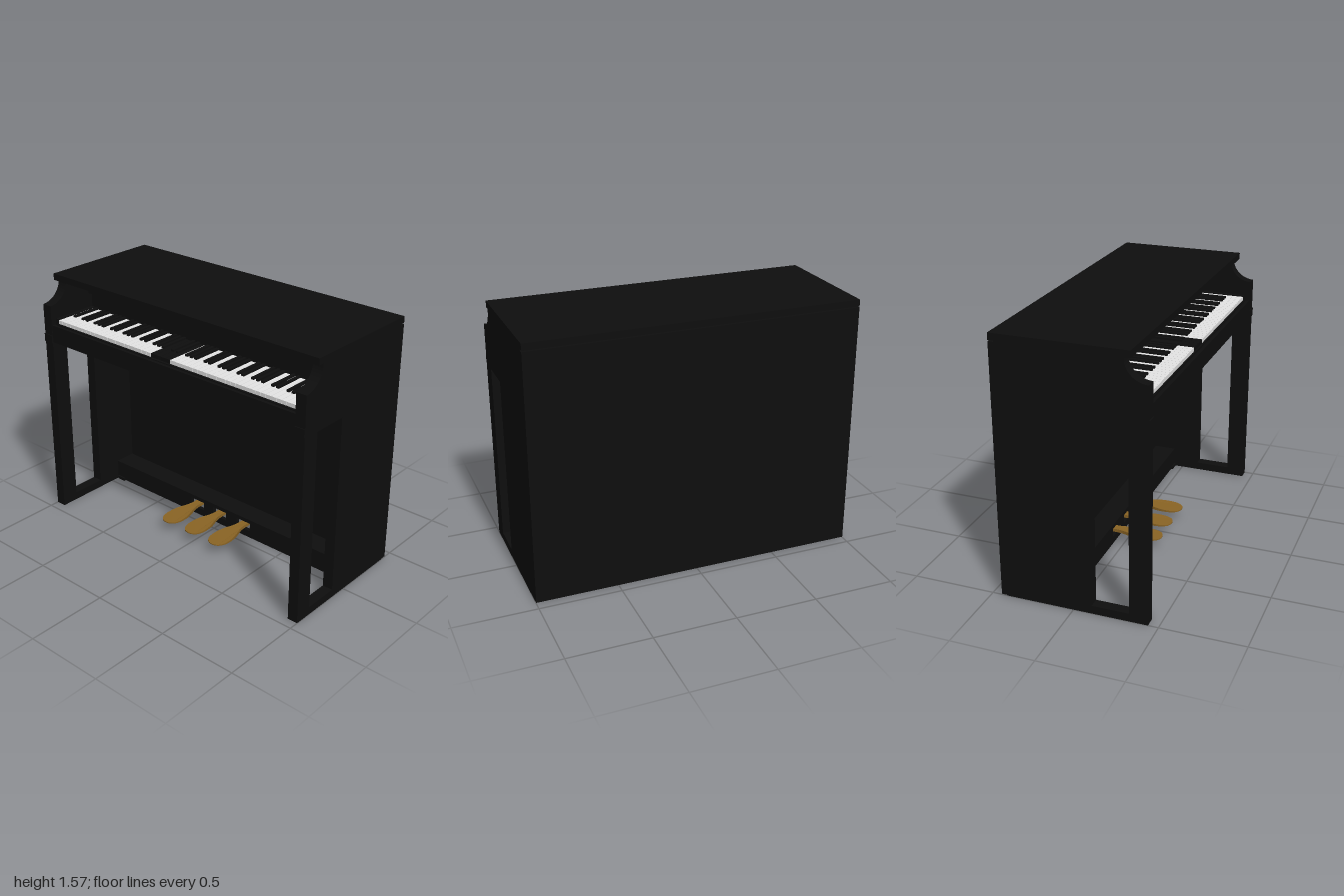
import * as THREE from 'three';

const mat = (name, color) => {
  const m = new THREE.MeshStandardMaterial({ color });
  m.name = name;
  return m;
};

export function createModel() {
  const black = mat('ebony black', 0x0e0e0e);
  const ivory = mat('key white', 0xe6e6e6);
  const brass = mat('pedal brass', 0x8a6424);
  const root = new THREE.Group();
  root.name = 'uprightPiano';

  const add = (name, geo, m, parent = root) => {
    const mesh = new THREE.Mesh(geo, m);
    mesh.name = name;
    parent.add(mesh);
    return mesh;
  };
  // box given by its minimum and maximum on each axis
  const box = (name, [x0, x1], [y0, y1], [z0, z1], m = black, parent = root) => {
    const mesh = add(name, new THREE.BoxGeometry(x1 - x0, y1 - y0, z1 - z0), m, parent);
    mesh.position.set((x0 + x1) / 2, (y0 + y1) / 2, (z0 + z1) / 2);
    return mesh;
  };

  const T = 0.065, IN = [-1 + T, 1 - T];

  // side panels: scooped cheek above, open window between front leg and body
  const side = new THREE.Shape();
  side.moveTo(-0.41, 0);
  side.lineTo(0.44, 0);
  side.lineTo(0.44, 1.4);
  side.absellipse(0.44, 1.53, 0.135, 0.13, -Math.PI / 2, -Math.PI, true);
  side.lineTo(-0.41, 1.53);
  side.closePath();
  const gap = new THREE.Path();
  gap.moveTo(0.11, 0.05);
  gap.lineTo(0.11, 1.155);
  gap.lineTo(0.33, 1.155);
  gap.lineTo(0.33, 0.05);
  gap.closePath();
  side.holes.push(gap);
  const sideGeo = new THREE.ExtrudeGeometry(side, { depth: T, bevelEnabled: false, curveSegments: 16 });
  sideGeo.rotateY(-Math.PI / 2);
  add('leftSide', sideGeo, black).position.x = 1;
  add('rightSide', sideGeo, black).position.x = -1 + T;
  for (const s of [-1, 1]) {
    box('cheekFoot', [s * 0.9675 - 0.0325, s * 0.9675 + 0.0325], [1.16, 1.21], [0.44, 0.446]);
  }

  // case
  box('lid', [-1, 1], [1.53, 1.57], [-0.443, 0.343]);
  box('backPanel', [-1, 1], [0.004, 1.523], [-0.443, -0.41]);
  box('lowerBody', IN, [0.13, 1.155], [-0.41, -0.2]);
  box('keyBed', IN, [1.155, 1.275], [-0.41, 0.404]);
  box('keySlip', IN, [1.165, 1.275], [0.414, 0.435]);
  box('upperBody', IN, [1.275, 1.523], [-0.41, 0.1]);
  box('fallboardRail', IN, [1.4, 1.44], [0.1, 0.125]);
  box('fallboardTop', IN, [1.48, 1.523], [0.1, 0.16]);
  for (const s of [-1, 1]) {
    box('keyBlock', [s * 0.925 - 0.01, s * 0.925 + 0.01], [1.275, 1.31], [0.1, 0.4]);
  }

  // pedal box: front board with three openings, shelf on top, open below
  const board = new THREE.Shape();
  board.moveTo(IN[0], 0.004);
  board.lineTo(IN[1], 0.004);
  board.lineTo(IN[1], 0.13);
  board.lineTo(IN[0], 0.13);
  board.closePath();
  const pedalX = [-0.195, -0.005, 0.19];
  for (const x of pedalX) {
    const h = new THREE.Path();
    h.moveTo(x - 0.055, 0.05);
    h.lineTo(x - 0.055, 0.105);
    h.lineTo(x + 0.055, 0.105);
    h.lineTo(x + 0.055, 0.05);
    h.closePath();
    board.holes.push(h);
  }
  add('kickBoard', new THREE.ExtrudeGeometry(board, { depth: 0.025, bevelEnabled: false }), black).position.z = -0.085;
  box('kickShelf', IN, [0.115, 0.13], [-0.41, -0.085]);
  for (const s of [-1, 1]) box('foot', [s * 0.9 - 0.03, s * 0.9 + 0.03], [0, 0.02], [-0.085, -0.05]);

  // pedals: spoon outline, thinning toward the tip
  const spoon = new THREE.Shape();
  spoon.moveTo(-0.025, -0.12);
  spoon.lineTo(0.025, -0.12);
  spoon.lineTo(0.025, -0.04);
  spoon.bezierCurveTo(0.03, 0.03, 0.065, 0.06, 0.065, 0.15);
  spoon.bezierCurveTo(0.065, 0.21, 0.04, 0.24, 0, 0.24);
  spoon.bezierCurveTo(-0.04, 0.24, -0.065, 0.21, -0.065, 0.15);
  spoon.bezierCurveTo(-0.065, 0.06, -0.03, 0.03, -0.025, -0.04);
  spoon.closePath();
  const pedalGeo = new THREE.ExtrudeGeometry(spoon, { depth: 0.02, bevelEnabled: false, curveSegments: 10 });
  pedalGeo.rotateX(Math.PI / 2);
  const p = pedalGeo.attributes.position;
  for (let i = 0; i < p.count; i++) {
    const k = 1 - 0.7 * THREE.MathUtils.clamp((p.getZ(i) - 0.05) / 0.19, 0, 1);
    p.setY(i, 0.079 + (p.getY(i) + 0.01) * k);
  }
  pedalGeo.computeVertexNormals();
  for (const x of pedalX) add('pedal', pedalGeo, brass).position.x = x;

  // keyboard: 52 naturals in three runs, the middle run dark
  const keys = new THREE.Group();
  keys.name = 'keyboard';
  root.add(keys);
  const runs = [[-0.915, -0.13, 22, ivory], [-0.13, 0.02, 4, black], [0.02, 0.915, 26, ivory]];
  let n = 0;
  for (const [x0, x1, count, m] of runs) {
    const w = (x1 - x0) / count;
    for (let i = 0; i < count; i++, n++) {
      const x = x0 + i * w;
      box('naturalKey', [x + 0.001, x + w - 0.001], [1.28, 1.303], [0.11, 0.398], m, keys);
      // sharps follow C, D, F, G and A; the first natural is A
      if ([0, 1, 3, 4, 5].includes((n + 5) % 7) && n < 51) {
        box('sharpKey', [x + w - 0.009, x + w + 0.009], [1.295, 1.315], [0.11, 0.3], black, keys);
      }
    }
  }
  return root;
}
